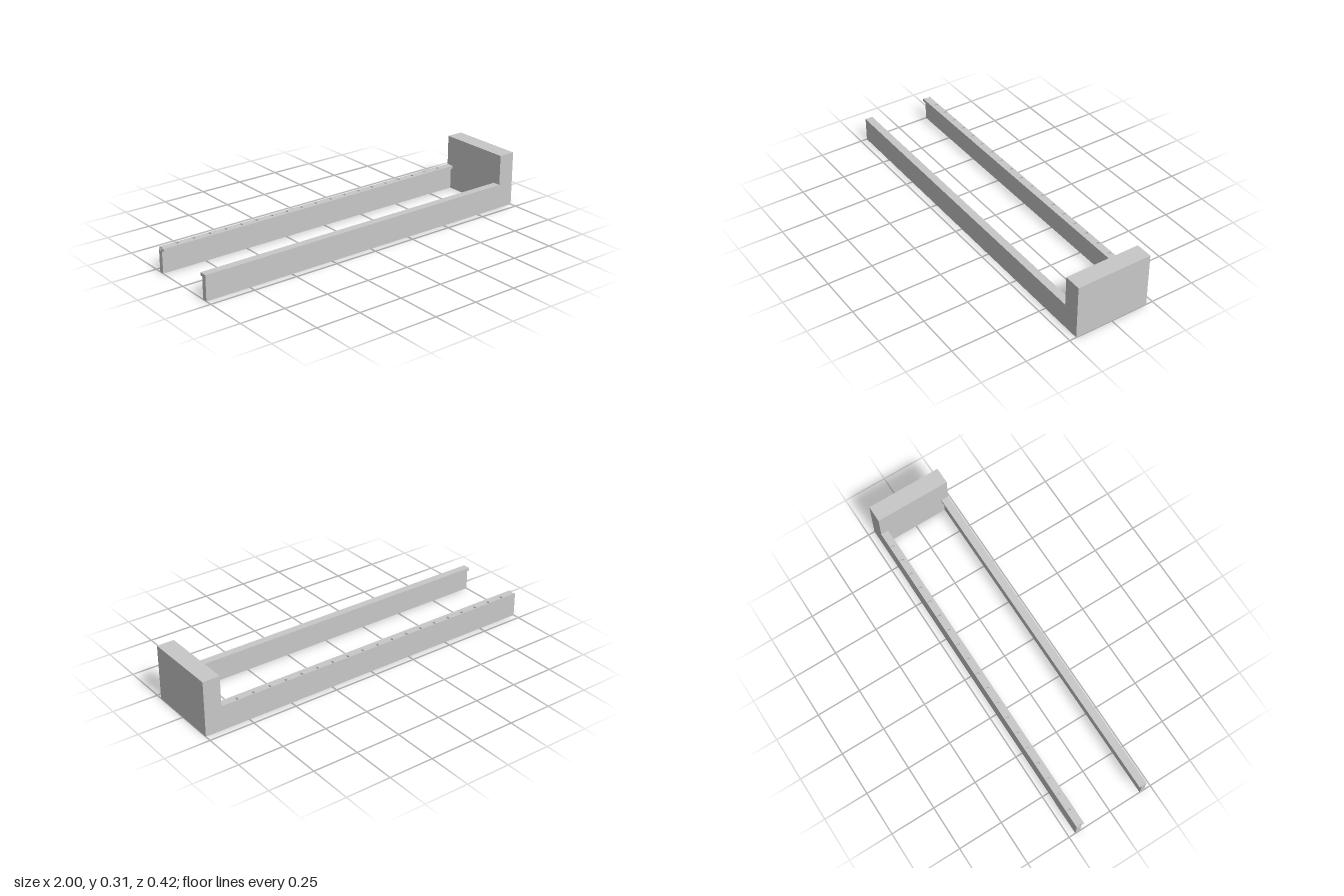
import * as THREE from 'three';

export function createModel() {
  const model = new THREE.Group();
  const grey = new THREE.MeshStandardMaterial({ color: 0xc8c8c8 });
  grey.name = 'light grey';

  const X0 = -1, X1 = 1, headX = 0.905, halfDepth = 0.212;
  const railTop = 0.137, lipThick = 0.016, lipWidth = 0.043, webWidth = 0.028;

  function box(name, x0, x1, y0, y1, z0, z1) {
    const mesh = new THREE.Mesh(new THREE.BoxGeometry(x1 - x0, y1 - y0, z1 - z0), grey);
    mesh.position.set((x0 + x1) / 2, (y0 + y1) / 2, (z0 + z1) / 2);
    mesh.name = name;
    model.add(mesh);
  }

  // Solid end block
  box('endBlock', headX, X1, 0, 0.306, -halfDepth, halfDepth);

  // Front rail: upright web with a lip turned inward
  box('frontRailWeb', X0, headX, 0, railTop - lipThick, halfDepth - webWidth, halfDepth);
  box('frontRailLip', X0, headX, railTop - lipThick, railTop, halfDepth - lipWidth, halfDepth);

  // Back rail web
  box('backRailWeb', X0, headX, 0, railTop - lipThick, -halfDepth, -halfDepth + webWidth);

  // Back rail lip with a row of slots; the first one is cut by the open end
  // Shape y becomes -z once the extrusion is laid flat
  const rx = 0.007, ry = 0.011, slotY = 0.198, pitch = 0.0953;
  const y0 = halfDepth - lipWidth, y1 = halfDepth;
  const lip = new THREE.Shape();
  lip.moveTo(X0, y0);
  lip.lineTo(headX, y0);
  lip.lineTo(headX, y1);
  lip.lineTo(X0, y1);
  lip.lineTo(X0, slotY + ry);
  lip.absellipse(X0, slotY, rx, ry, Math.PI / 2, -Math.PI / 2, true);
  lip.closePath();
  for (let i = 1; i < 20; i++) {
    const slot = new THREE.Path();
    slot.absellipse(X0 + i * pitch, slotY, rx, ry, 0, Math.PI * 2, true);
    lip.holes.push(slot);
  }
  const lipGeometry = new THREE.ExtrudeGeometry(lip, { depth: lipThick, bevelEnabled: false, curveSegments: 6 });
  lipGeometry.rotateX(-Math.PI / 2);
  const backLip = new THREE.Mesh(lipGeometry, grey);
  backLip.position.y = railTop - lipThick;
  backLip.name = 'backRailSlottedLip';
  model.add(backLip);

  return model;
}
